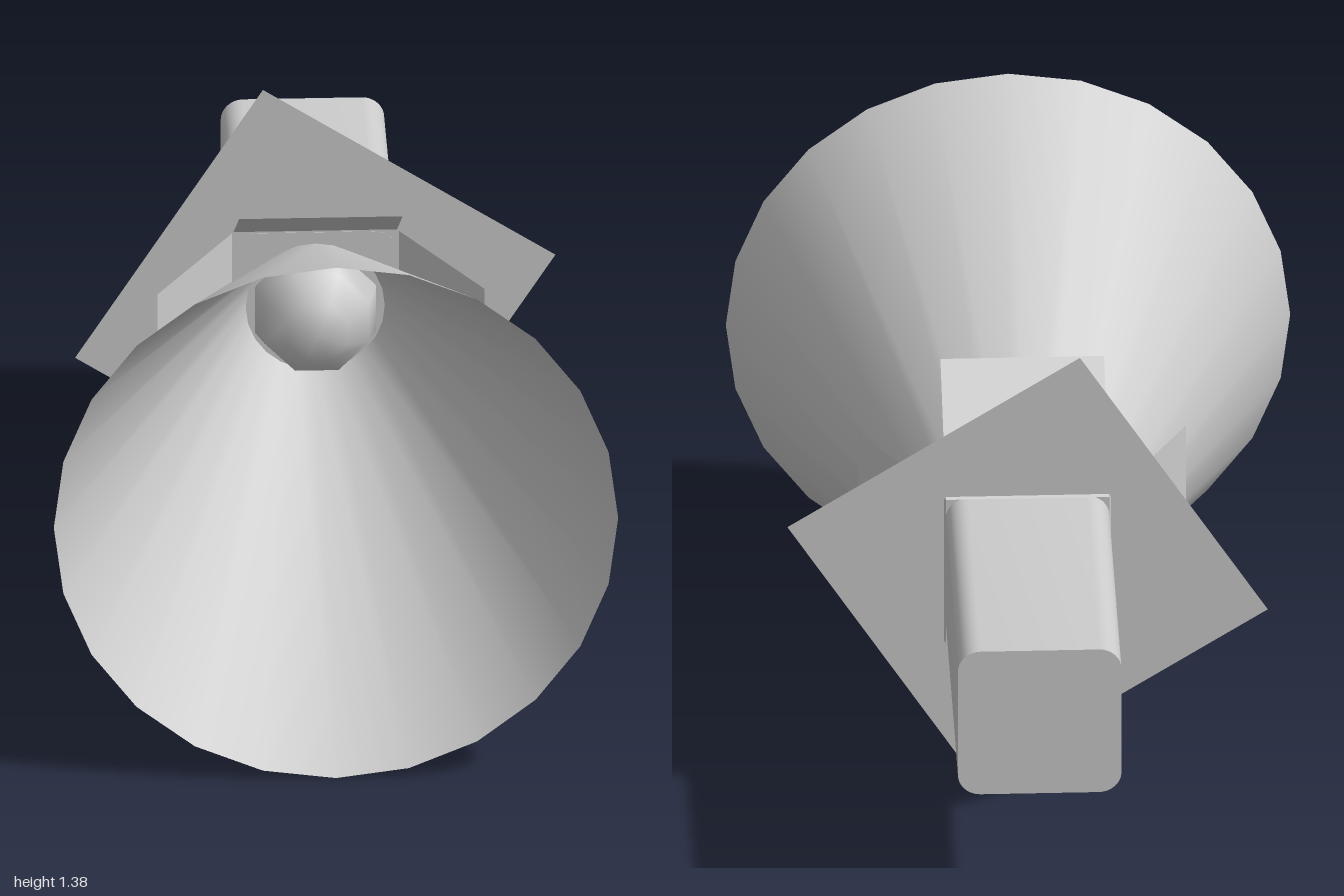
import * as THREE from 'three';
import { toCreasedNormals } from 'three/addons/utils/BufferGeometryUtils.js';

const AXIS_Y = 0.69; // height of the centre line

export function createModel() {
  const model = new THREE.Group();
  const solid = new THREE.MeshStandardMaterial({ color: 0xcccccc });
  const thin = new THREE.MeshStandardMaterial({ color: 0xcccccc, side: THREE.DoubleSide });

  const add = (name, geometry, material) => {
    const mesh = new THREE.Mesh(geometry, material);
    mesh.name = name;
    mesh.position.y = AXIS_Y;
    model.add(mesh);
    return mesh;
  };

  // Open flared cone, narrow end at the back
  const cone = new THREE.CylinderGeometry(0.69, 0.17, 1.235, 24, 1, true);
  cone.rotateX(Math.PI / 2).translate(0, 0, 1 - 1.235 / 2);
  add('flaredCone', cone, thin);

  // Handle: square bar with rounded long edges
  const h = 0.2, r = 0.055;
  const section = new THREE.Shape();
  section.moveTo(-h + r, -h);
  section.lineTo(h - r, -h);
  section.absarc(h - r, -h + r, r, -Math.PI / 2, 0);
  section.lineTo(h, h - r);
  section.absarc(h - r, h - r, r, 0, Math.PI / 2);
  section.lineTo(-h + r, h);
  section.absarc(-h + r, h - r, r, Math.PI / 2, Math.PI);
  section.lineTo(-h, -h + r);
  section.absarc(-h + r, -h + r, r, Math.PI, Math.PI * 1.5);
  const bar = new THREE.ExtrudeGeometry(section, { depth: 0.765, bevelEnabled: false, curveSegments: 4 });
  bar.translate(0, 0, -1);
  add('handle', toCreasedNormals(bar, Math.PI / 4), solid);

  // Thin square collar, turned about the centre line
  const collar = new THREE.PlaneGeometry(0.85, 0.85);
  collar.rotateZ(1).translate(0, 0, -0.236);
  add('collarPlate', collar, thin);

  // Four thin flaps fanning outward around the neck
  for (let i = 0; i < 4; i++) {
    const flap = new THREE.PlaneGeometry(0.4, 0.4);
    flap.rotateX(-Math.PI / 2 - Math.PI / 6).translate(0, 0.3, -0.07);
    flap.rotateZ((i * Math.PI) / 2);
    add('neckFlap' + (i + 1), flap, thin);
  }

  // Small eight-sided bulb at the bottom of the cone
  const bulb = new THREE.SphereGeometry(0.16, 8, 6);
  bulb.rotateX(Math.PI / 2).rotateZ(Math.PI / 8).translate(0, 0, -0.22);
  add('bulb', bulb, solid);

  return model;
}
